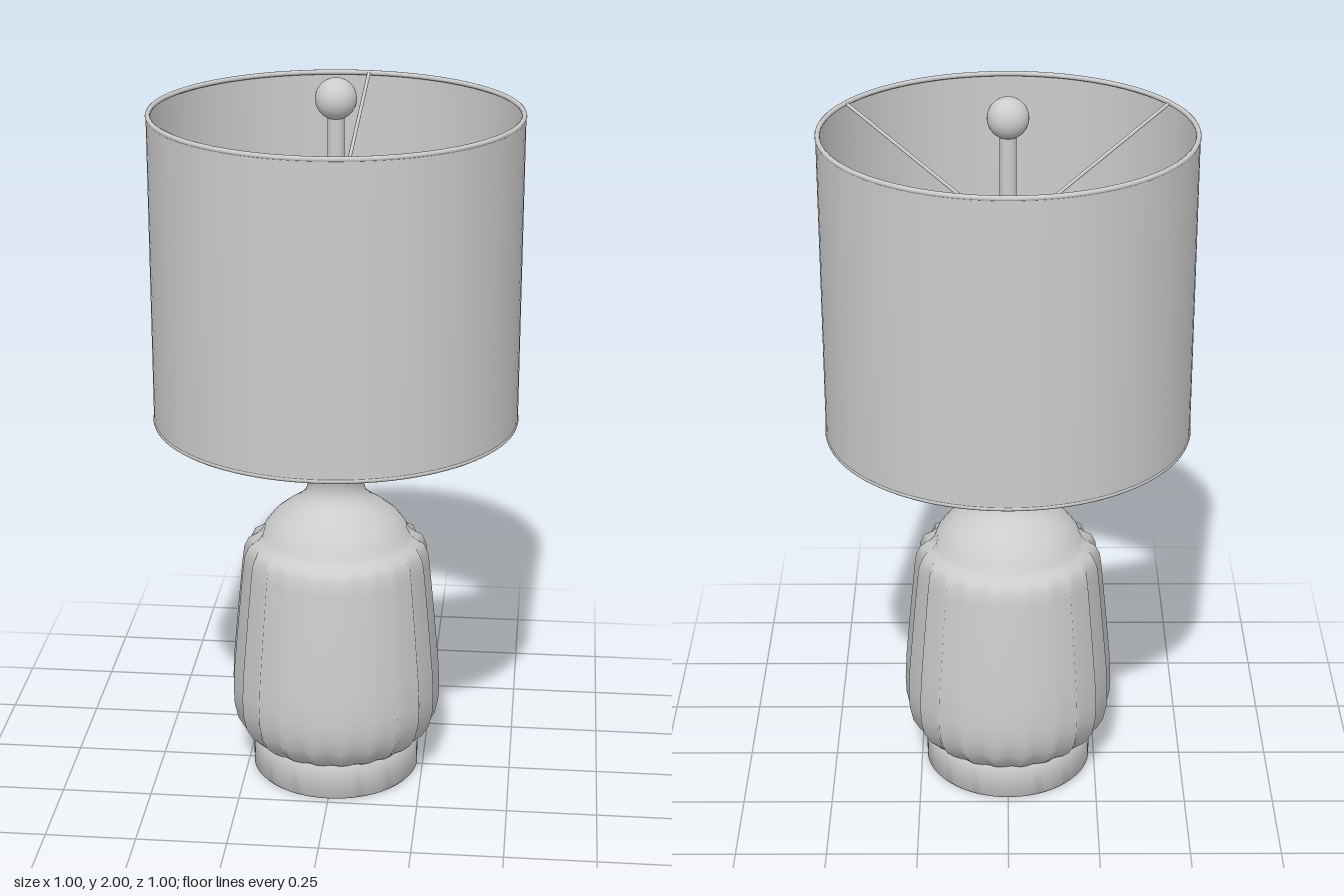
import * as THREE from 'three';
import { toCreasedNormals } from 'three/addons/utils/BufferGeometryUtils.js';

export function createModel() {
  const lamp = new THREE.Group();
  lamp.name = 'tableLamp';
  const grey = new THREE.MeshStandardMaterial({ color: 0xcccccc, side: THREE.DoubleSide });
  grey.name = 'plain grey';

  const add = (name, geometry, x = 0, y = 0, z = 0) => {
    const mesh = new THREE.Mesh(geometry, grey);
    mesh.name = name;
    mesh.position.set(x, y, z);
    lamp.add(mesh);
    return mesh;
  };
  const lathe = (points, segments) =>
    new THREE.LatheGeometry(points.map(([r, y]) => new THREE.Vector2(r, y)), segments);
  const post = (name, r, y0, y1) =>
    add(name, new THREE.CylinderGeometry(r, r, y1 - y0, 32), 0, (y0 + y1) / 2, 0);

  // Plain foot with a slightly eased rim
  add('foot', toCreasedNormals(lathe([[0, 0], [0.228, 0], [0.235, 0.008], [0.235, 0.095], [0.228, 0.107], [0, 0.107]], 64), 0.9));

  // Fluted body: radius, height, flute depth; 22 ridges, one on each side of x
  const ridges = 22;
  const profile = [
    [0.226, 0.1, 0], [0.242, 0.11, 0.01], [0.263, 0.13, 0.018], [0.283, 0.165, 0.022],
    [0.293, 0.21, 0.023], [0.295, 0.26, 0.023], [0.291, 0.34, 0.023], [0.276, 0.5, 0.022],
    [0.263, 0.63, 0.02], [0.258, 0.665, 0.02], [0.246, 0.69, 0.018], [0.222, 0.704, 0.012],
    [0.209, 0.716, 0.006], [0.198, 0.738, 0], [0.175, 0.768, 0], [0.14, 0.796, 0],
    [0.106, 0.818, 0], [0.085, 0.84, 0], [0.078, 0.862, 0], [0.08, 0.885, 0],
    [0.089, 0.91, 0], [0.092, 0.925, 0], [0.086, 0.934, 0], [0, 0.935, 0],
  ];
  const body = lathe(profile, ridges * 2);
  const pos = body.attributes.position;
  for (let i = 0; i < pos.count; i++) {
    const column = Math.floor(i / profile.length);
    const [r, , depth] = profile[i % profile.length];
    if (column % 2 === 0 && r > 0) {
      const k = (r - depth) / r;
      pos.setX(i, pos.getX(i) * k);
      pos.setZ(i, pos.getZ(i) * k);
    }
  }
  add('flutedBody', body);

  // Central stem, socket and upper rod
  post('neckCollar', 0.053, 0.93, 0.947);
  post('stem', 0.04, 0.94, 1.3);
  post('socket', 0.047, 1.29, 1.62);
  post('upperRod', 0.022, 1.6, 1.92);
  for (const side of [-1, 1]) {
    add('socketKey', new THREE.BoxGeometry(0.04, 0.03, 0.008), side * 0.062, 1.31, 0);
  }
  add('finialBall', new THREE.SphereGeometry(0.055, 32, 24), 0, 1.945, 0);

  // Drum shade with rolled rims
  const bottom = 1.06, top = 1.915, rim = 0.007;
  add('shade', new THREE.CylinderGeometry(0.497, 0.497, top - bottom - rim, 96, 1, true), 0, (top + bottom) / 2, 0);
  for (const y of [bottom + rim, top - rim]) {
    add('shadeRim', new THREE.TorusGeometry(0.492, rim, 10, 96), 0, y, 0).rotation.x = Math.PI / 2;
  }

  // Three spokes rising from the hub to the top rim
  post('spokeHub', 0.04, 1.615, 1.645);
  for (const [x, z] of [[0.43, 0.23], [-0.43, 0.23], [0.046, -0.487]]) {
    const path = new THREE.LineCurve3(
      new THREE.Vector3(x * 0.04, 1.635, z * 0.04), new THREE.Vector3(x, 1.908, z));
    add('spoke', new THREE.TubeGeometry(path, 1, 0.005, 8));
  }
  return lamp;
}
